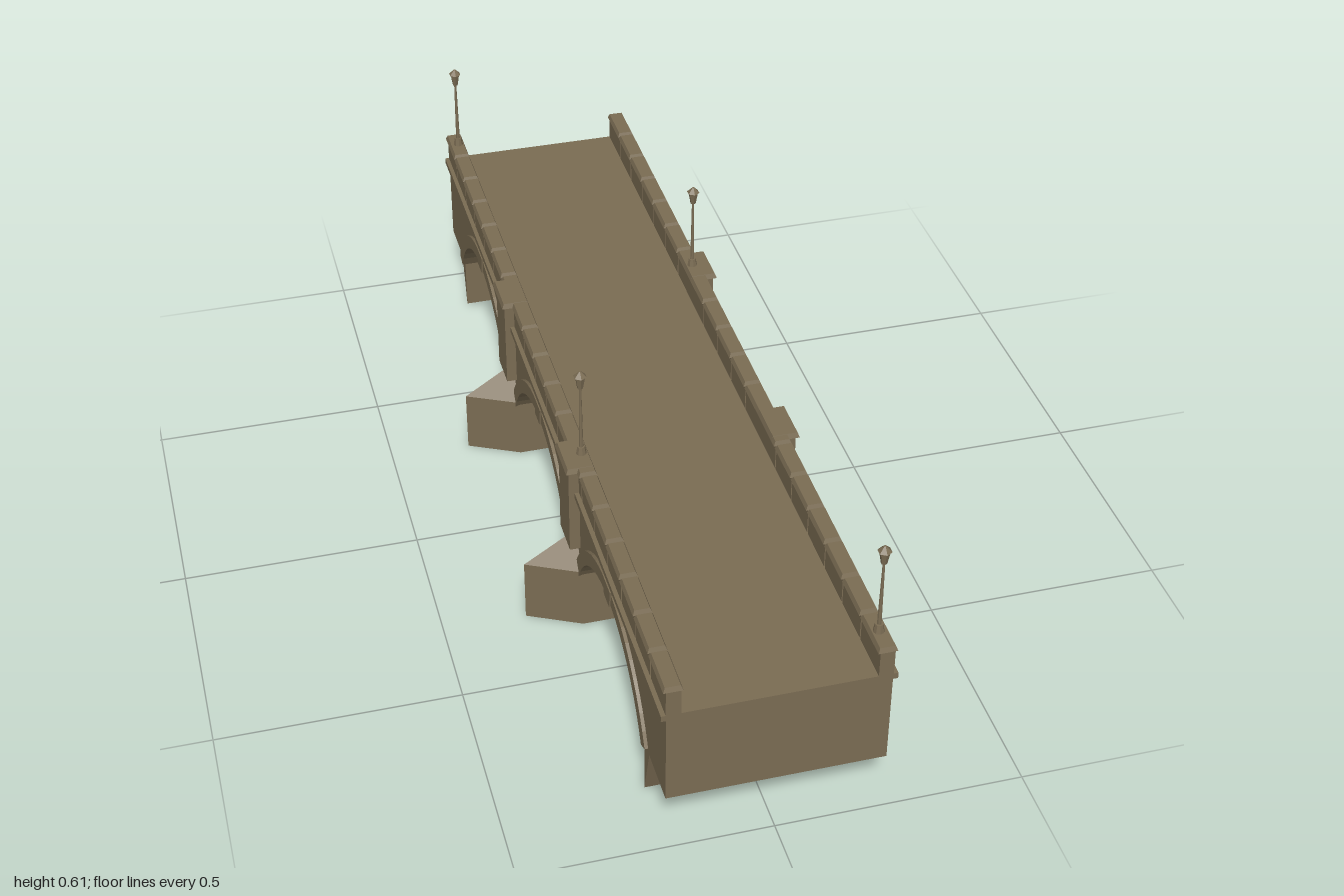
import * as THREE from 'three';

const R = 0.28, HALF = 0.25;           // arch radius and half span
const A0 = Math.acos(HALF / R);        // springing angle
const ARCHES = [-0.6, 0, 0.6], PIERS = [-0.3, 0.3];

export function createModel() {
  const root = new THREE.Group();
  root.name = 'stoneBridge';
  const stone = new THREE.MeshStandardMaterial({ color: 0x7a6c53, flatShading: true });
  stone.name = 'brown stone';

  const add = (name, geo, x = 0, y = 0, z = 0, parent = root) => {
    const m = new THREE.Mesh(geo, stone);
    m.name = name;
    m.position.set(x, y, z);
    parent.add(m);
    return m;
  };
  const box = (name, x0, x1, y0, y1, z0, z1) =>
    add(name, new THREE.BoxGeometry(x1 - x0, y1 - y0, z1 - z0), (x0 + x1) / 2, (y0 + y1) / 2, (z0 + z1) / 2);
  // Box whose top face is pulled in to make a chamfered stone
  const cap = (name, w, h, d, inset, x, y, z) => {
    const g = new THREE.BoxGeometry(w, h, d), p = g.attributes.position;
    for (let i = 0; i < p.count; i++) if (p.getY(i) > 0) {
      p.setX(i, p.getX(i) - Math.sign(p.getX(i)) * inset);
      p.setZ(i, p.getZ(i) - Math.sign(p.getZ(i)) * inset);
    }
    return add(name, g, x, y + h / 2, z);
  };
  // Extrude a (z, y) outline across x, centred on the given x
  const across = (name, pts, width, x = 0) => {
    const shape = new THREE.Shape(pts.map(([z, y]) => new THREE.Vector2(z, y)));
    const g = new THREE.ExtrudeGeometry(shape, { depth: width, bevelEnabled: false });
    g.translate(0, 0, -width / 2).rotateY(-Math.PI / 2);
    return add(name, g, x);
  };
  const arc = (r, c, n = 20) => Array.from({ length: n + 1 }, (_, i) => {
    const a = Math.PI - A0 - (Math.PI - 2 * A0) * i / n;
    return [c + r * Math.cos(a), r * Math.sin(a)];
  });

  // Main body with three arched openings and wedge feet at both ends
  const outline = [[-1, 0.34], [-1, 0.13], [-0.885, 0.13], [-0.85, 0.01]];
  for (const c of ARCHES) outline.push(...arc(R, c));
  outline.push([0.85, 0.01], [0.885, 0.13], [1, 0.13], [1, 0.34]);
  across('bridgeBody', outline, 0.43);

  // Piers, each pointed at both ends
  for (const z of PIERS) {
    const plan = new THREE.Shape([
      [-0.325, 0], [-0.215, -0.055], [0.215, -0.055], [0.325, 0], [0.215, 0.055], [-0.215, 0.055],
    ].map(([x, y]) => new THREE.Vector2(x, y)));
    const g = new THREE.ExtrudeGeometry(plan, { depth: 0.14, bevelEnabled: false });
    add('pier', g.rotateX(-Math.PI / 2), 0, 0, z);
  }

  for (const s of [-1, 1]) {
    const side = (name, a, b, ...rest) => box(name, Math.min(s * a, s * b), Math.max(s * a, s * b), ...rest);

    // Raised arch rings and keystones
    for (const c of ARCHES) {
      across('archRing', [...arc(R, c), ...arc(R + 0.03, c).reverse()], 0.012, s * 0.216);
      across('keystone', [[c - 0.02, 0.276], [c + 0.02, 0.276], [c + 0.028, 0.318], [c - 0.028, 0.318]], 0.014, s * 0.218);
    }

    // String course and parapet core
    side('stringCourse', 0.205, 0.225, 0.327, 0.34, -1, 1);
    side('parapetCore', 0.191, 0.212, 0.33, 0.393, -0.998, 0.998);

    // Parapet blocks with chamfered coping stones
    const n = 19, step = 2 / n;
    for (let i = 0; i < n; i++) {
      const z = -1 + step * (i + 0.5), len = step - 0.005;
      const z0 = i ? z - len / 2 : -1, z1 = i < n - 1 ? z + len / 2 : 1;
      side('parapetBlock', 0.187, 0.216, 0.335, 0.395, z0, z1);
      cap('copingStone', 0.038, 0.01, z1 - z0, 0.004, s * 0.202, 0.395, (z0 + z1) / 2);
    }

    for (const z of PIERS) {
      // Sloped roof of the pier nose
      const a = [s * 0.215, 0.14, -0.055], b = [s * 0.215, 0.14, 0.055];
      const tip = [s * 0.325, 0.14, 0], top = [s * 0.215, 0.211, 0];
      const tris = s > 0 ? [b, tip, top, tip, a, top] : [tip, b, top, a, tip, top];
      const g = new THREE.BufferGeometry();
      g.setAttribute('position', new THREE.Float32BufferAttribute(tris.flat(), 3));
      g.computeVertexNormals();
      add('pierNoseRoof', g, 0, 0, z);

      // Pilaster above the pier
      side('pilaster', 0.187, 0.237, 0.195, 0.396, z - 0.042, z + 0.042).scale.x = 1;
      cap('pilasterCap', 0.06, 0.011, 0.1, 0.004, s * 0.213, 0.395, z);
    }
  }

  // Street lamps, staggered along both sides
  for (const [x, z] of [[-0.2, -0.95], [0.2, -0.3], [-0.2, 0.3], [0.2, 0.95]]) {
    const lamp = new THREE.Group();
    lamp.name = 'streetLamp';
    lamp.position.set(x, 0, z);
    root.add(lamp);
    const part = (name, rTop, rBot, y0, y1, sides) =>
      add(name, new THREE.CylinderGeometry(rTop, rBot, y1 - y0, sides), 0, (y0 + y1) / 2, 0, lamp);
    part('lampBase', 0.008, 0.012, 0.4, 0.423, 8);
    part('lampPole', 0.0025, 0.0045, 0.423, 0.57, 8);
    part('lampHead', 0.011, 0.006, 0.567, 0.596, 6);
    part('lampRoof', 0.002, 0.014, 0.595, 0.607, 6);
  }
  return root;
}
